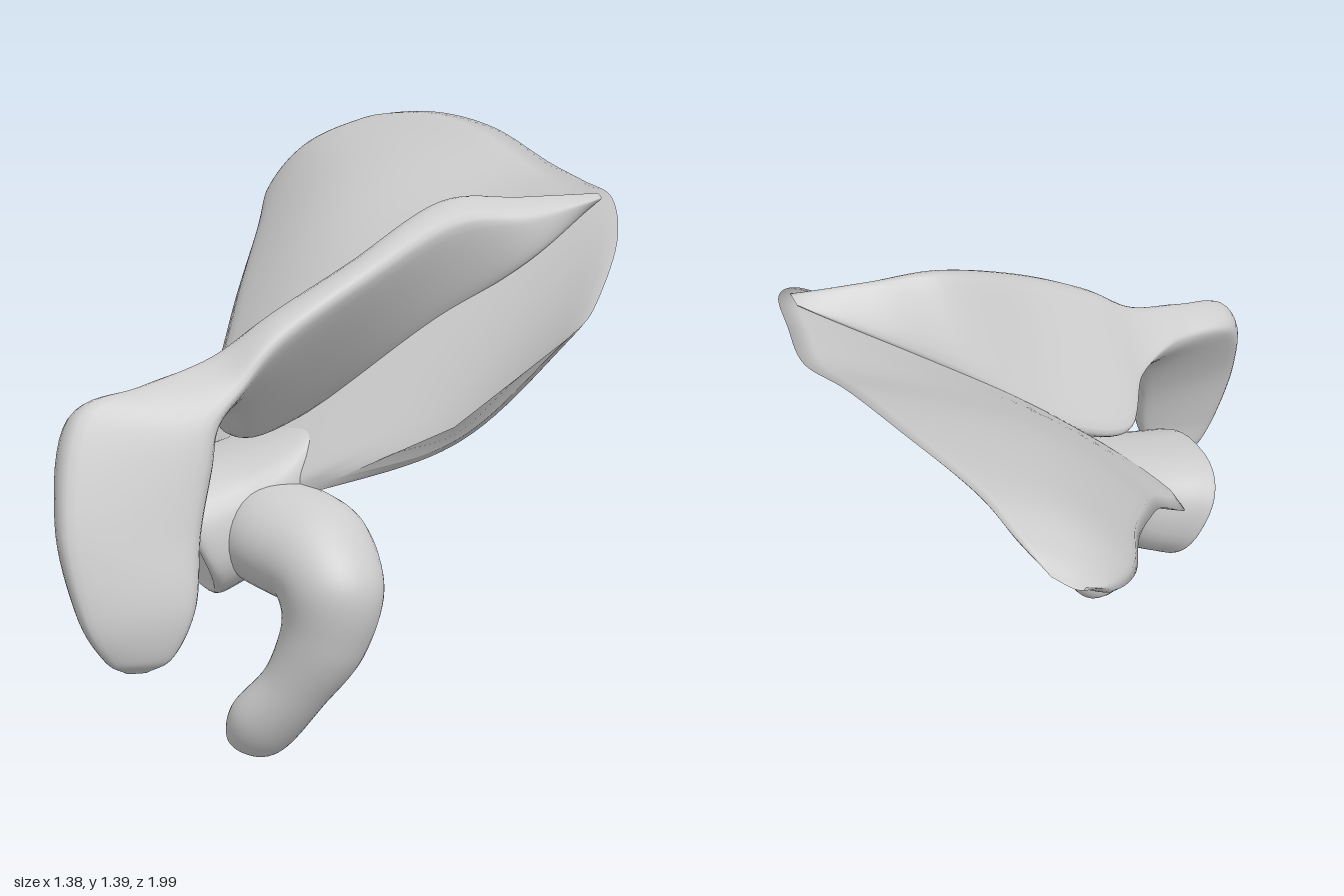
import * as THREE from 'three';

const V = (a) => new THREE.Vector3(...a);
const material = new THREE.MeshStandardMaterial({ color: 0xcccccc, roughness: 0.8, side: THREE.DoubleSide });

// Smooth skin over closed rings of equal point count, with both ends closed
function loft(name, rings, steps) {
  const n = rings[0].length;
  const rails = rings[0].map((_, j) => new THREE.CatmullRomCurve3(rings.map((r) => r[j]), false, 'catmullrom', 0.5));
  const pos = [], idx = [];
  for (let i = 0; i <= steps; i++) {
    for (const rail of rails) pos.push(...rail.getPoint(i / steps).toArray());
  }
  for (let i = 0; i < steps; i++) {
    for (let j = 0; j < n; j++) {
      const a = i * n + j, b = i * n + ((j + 1) % n);
      idx.push(a, b, a + n, b, b + n, a + n);
    }
  }
  for (const [row, first] of [[0, true], [steps, false]]) {
    const c = new THREE.Vector3(), id = pos.length / 3;
    for (let j = 0; j < n; j++) c.add(new THREE.Vector3().fromArray(pos, (row * n + j) * 3));
    pos.push(...c.divideScalar(n).toArray());
    for (let j = 0; j < n; j++) {
      const a = row * n + j, b = row * n + ((j + 1) % n);
      idx.push(id, first ? b : a, first ? a : b);
    }
  }
  // Turn the faces outward when the enclosed volume is negative
  let volume = 0;
  const at = (k) => new THREE.Vector3().fromArray(pos, idx[k] * 3);
  for (let k = 0; k < idx.length; k += 3) volume += at(k).dot(at(k + 1).cross(at(k + 2)));
  if (volume < 0) idx.reverse();
  const g = new THREE.BufferGeometry();
  g.setAttribute('position', new THREE.Float32BufferAttribute(pos, 3));
  g.setIndex(idx);
  g.computeVertexNormals();
  const mesh = new THREE.Mesh(g, material);
  mesh.name = name;
  return mesh;
}

// Oval ring around a centre, spanned by two axes; a power below 1 makes it squarer
function oval(c, u, v, power, n = 36) {
  const soft = (x) => Math.sign(x) * Math.pow(Math.abs(x), power);
  return Array.from({ length: n }, (_, j) => {
    const t = (j / n) * Math.PI * 2;
    return c.clone().addScaledVector(u, soft(Math.cos(t))).addScaledVector(v, soft(Math.sin(t)));
  });
}

// Thin curved blade: rows run from the outer border over the middle to the inner border
function blade() {
  const rows = [
    [[0.23, 1.235, -0.985], [0.28, 1.25, -1.0], [0.33, 1.28, -0.985], 0],
    [[0.17, 1.18, -0.92], [0.27, 1.26, -0.93], [0.385, 1.335, -0.91], 0.8],
    [[0.10, 1.13, -0.80], [0.26, 1.275, -0.80], [0.44, 1.375, -0.78], 1],
    [[0.03, 1.06, -0.58], [0.25, 1.245, -0.56], [0.54, 1.39, -0.55], 1],
    [[-0.08, 0.92, -0.30], [0.21, 1.17, -0.29], [0.62, 1.36, -0.28], 1],
    [[-0.20, 0.74, 0.0], [0.17, 1.05, 0.0], [0.68, 1.285, 0.0], 1.1],
    [[-0.33, 0.58, 0.21], [0.15, 0.94, 0.25], [0.685, 1.255, 0.25], 1.2],
    [[-0.32, 0.53, 0.41], [0.16, 0.87, 0.45], [0.68, 1.23, 0.46], 1.2],
    [[-0.18, 0.56, 0.55], [0.20, 0.79, 0.62], [0.615, 1.145, 0.67], 1],
    [[-0.06, 0.60, 0.60], [0.23, 0.74, 0.71], [0.50, 1.02, 0.84], 0.8],
    [[-0.02, 0.62, 0.62], [0.22, 0.72, 0.74], [0.43, 0.97, 0.89], 0],
  ];
  const normal = V([-0.55, 0.83, 0]).normalize(), n = 24;
  const rings = rows.map(([l, m, r, thick]) => {
    const curve = new THREE.CatmullRomCurve3([V(l), V(m), V(r)]);
    const ring = [];
    for (let j = 0; j < 2 * n; j++) {
      const s = j <= n ? j / n : 2 - j / n;
      const h = thick * (0.044 - 0.026 * s) * Math.pow(Math.max(0, Math.sin(Math.PI * s)), 0.45);
      ring.push(curve.getPoint(s).addScaledVector(normal, j <= n ? h : -h));
    }
    return ring;
  });
  return loft('blade', rings, 80);
}

// Ridge across the blade that turns down into a broad flat hook
// Each section: front lip, crest, back base, front base
function spine() {
  const sections = [
    [[0.65, 1.23, 0.47], [0.65, 1.24, 0.44], [0.64, 1.225, 0.41], [0.64, 1.215, 0.45]],
    [[0.46, 1.19, 0.52], [0.45, 1.235, 0.46], [0.44, 1.11, 0.39], [0.46, 1.09, 0.51]],
    [[0.27, 1.175, 0.56], [0.25, 1.225, 0.47], [0.21, 0.98, 0.36], [0.25, 0.95, 0.47]],
    [[0.03, 1.07, 0.69], [0.00, 1.10, 0.60], [-0.02, 0.81, 0.38], [0.03, 0.80, 0.47]],
    [[-0.18, 0.95, 0.77], [-0.20, 1.00, 0.68], [-0.24, 0.72, 0.45], [-0.18, 0.71, 0.52]],
    [[-0.28, 0.86, 0.82], [-0.33, 0.925, 0.73], [-0.32, 0.80, 0.59], [-0.27, 0.78, 0.60]],
    [[-0.34, 0.80, 0.86], [-0.49, 0.88, 0.81], [-0.46, 0.83, 0.70], [-0.34, 0.77, 0.67]],
    [[-0.37, 0.72, 0.89], [-0.63, 0.83, 0.87], [-0.63, 0.79, 0.77], [-0.37, 0.71, 0.76]],
    [[-0.405, 0.58, 0.93], [-0.67, 0.62, 0.95], [-0.67, 0.61, 0.87], [-0.405, 0.58, 0.84]],
    [[-0.42, 0.43, 0.97], [-0.64, 0.43, 0.99], [-0.635, 0.43, 0.91], [-0.42, 0.43, 0.89]],
    [[-0.46, 0.33, 0.97], [-0.59, 0.33, 0.98], [-0.59, 0.33, 0.92], [-0.46, 0.33, 0.90]],
    [[-0.51, 0.295, 0.95], [-0.55, 0.295, 0.95], [-0.55, 0.295, 0.935], [-0.51, 0.295, 0.935]],
  ];
  const rings = sections.map((s) => {
    const curve = new THREE.CatmullRomCurve3(s.map(V), true, 'catmullrom', 0.35);
    return Array.from({ length: 32 }, (_, j) => curve.getPoint(j / 32));
  });
  return loft('spineAndHook', rings, 88);
}

// Flared neck that ends in a shallow oval socket
function socket() {
  const across = V([0.45, -0.89, 0]), along = V([0.15, 0, 0.99]);
  const rings = [
    [[-0.04, 0.71, 0.41], 0.03, 0.10],
    [[-0.13, 0.61, 0.42], 0.09, 0.17],
    [[-0.23, 0.53, 0.44], 0.14, 0.185],
    [[-0.34, 0.49, 0.46], 0.16, 0.20],
    [[-0.375, 0.478, 0.46], 0.155, 0.195],
    [[-0.365, 0.483, 0.46], 0.125, 0.16],
    [[-0.345, 0.493, 0.46], 0.06, 0.08],
    [[-0.34, 0.495, 0.46], 0.005, 0.005],
  ].map(([c, a, b]) => oval(V(c), across.clone().multiplyScalar(a), along.clone().multiplyScalar(b), 0.82));
  return loft('socket', rings, 56);
}

// Bent finger-like beak: centre, half width, half depth
function beak() {
  const stations = [
    [[-0.20, 0.51, 0.44], 0.10, 0.11],
    [[-0.15, 0.49, 0.57], 0.15, 0.12],
    [[-0.085, 0.455, 0.68], 0.14, 0.115],
    [[-0.065, 0.385, 0.745], 0.12, 0.11],
    [[-0.085, 0.28, 0.75], 0.10, 0.09],
    [[-0.145, 0.17, 0.73], 0.08, 0.07],
    [[-0.21, 0.08, 0.695], 0.085, 0.065],
    [[-0.235, 0.025, 0.675], 0.06, 0.045],
    [[-0.24, 0.005, 0.67], 0.015, 0.01],
  ];
  const path = stations.map((s) => V(s[0]));
  const rings = stations.map(([, w, d], i) => {
    const dir = path[Math.min(i + 1, path.length - 1)].clone().sub(path[Math.max(i - 1, 0)]).normalize();
    const u = V([1, 0, 0]).addScaledVector(dir, -dir.x).normalize();
    const v = dir.clone().cross(u);
    return oval(path[i], u.multiplyScalar(w), v.multiplyScalar(d), 1);
  });
  return loft('beak', rings, 64);
}

export function createModel() {
  const group = new THREE.Group();
  group.name = 'shoulderBlade';
  group.add(blade(), spine(), socket(), beak());
  return group;
}
